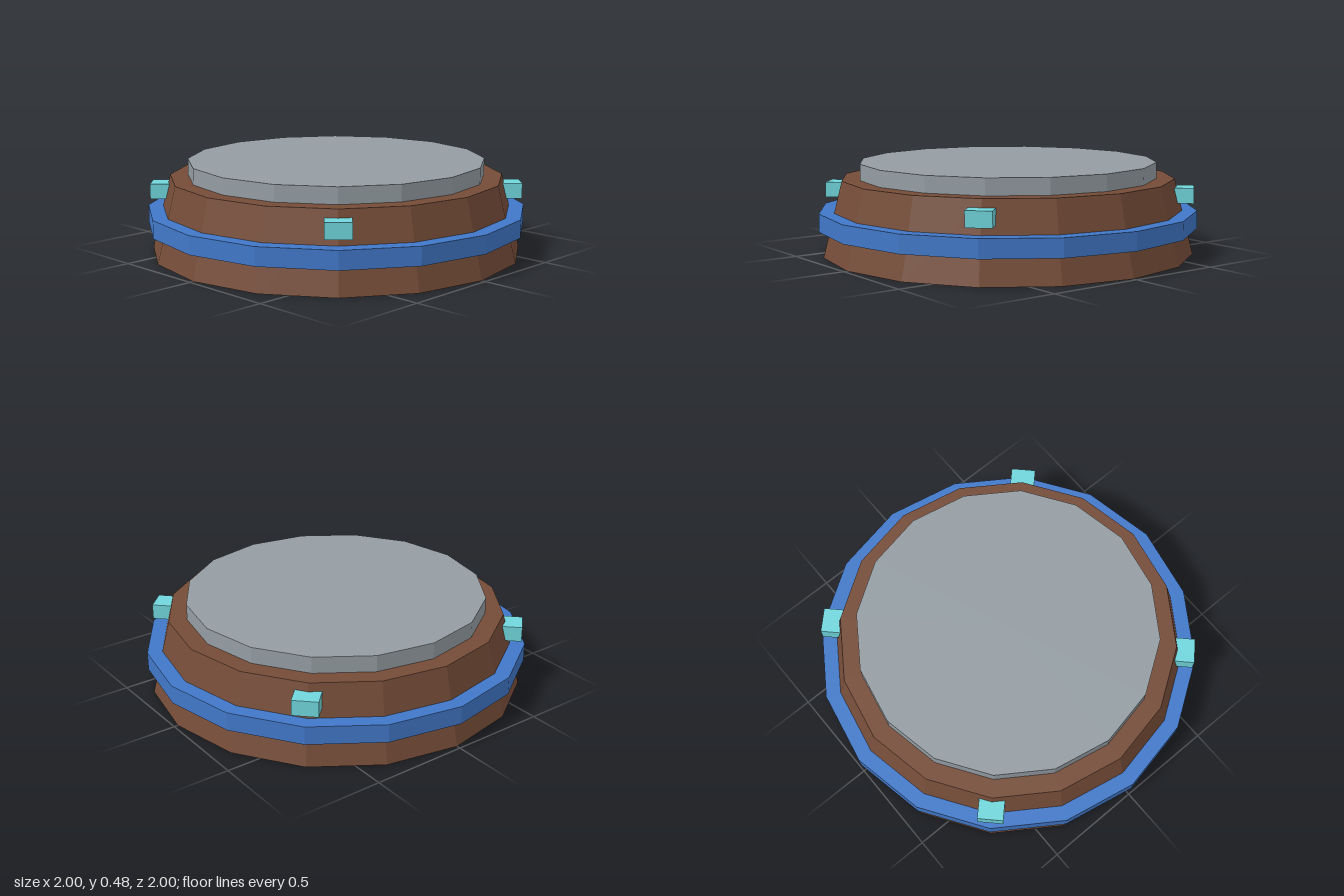
import * as THREE from 'three';

const flat = (name, color) => {
  const m = new THREE.MeshStandardMaterial({ color, flatShading: true });
  m.name = name;
  return m;
};

export function createModel() {
  const brown = flat('brown', 0x754c38);
  const blue = flat('blue', 0x4178c8);
  const grey = flat('grey', 0x949da3);
  const cyan = flat('cyan', 0x70d6dc);

  const model = new THREE.Group();
  model.name = 'roundPedestal';

  // Sixteen-sided drum between two heights
  const drum = (name, rTop, rBottom, y0, y1, material) => {
    const mesh = new THREE.Mesh(new THREE.CylinderGeometry(rTop, rBottom, y1 - y0, 16), material);
    mesh.name = name;
    mesh.position.y = (y0 + y1) / 2;
    model.add(mesh);
  };
  drum('base', 0.88, 0.98, 0, 0.395, brown);
  drum('band', 1, 1, 0.135, 0.23, blue);
  drum('topSlab', 0.785, 0.785, 0.36, 0.48, grey);

  // Four blocks set into the slope on the diagonals
  const block = new THREE.BoxGeometry(0.13, 0.08, 0.13);
  for (let i = 0; i < 4; i++) {
    const a = Math.PI / 4 + (i * Math.PI) / 2;
    const mesh = new THREE.Mesh(block, cyan);
    mesh.name = 'gemBlock' + (i + 1);
    mesh.position.set(Math.sin(a) * 0.915, 0.314, Math.cos(a) * 0.915);
    mesh.rotation.y = a;
    model.add(mesh);
  }
  return model;
}
